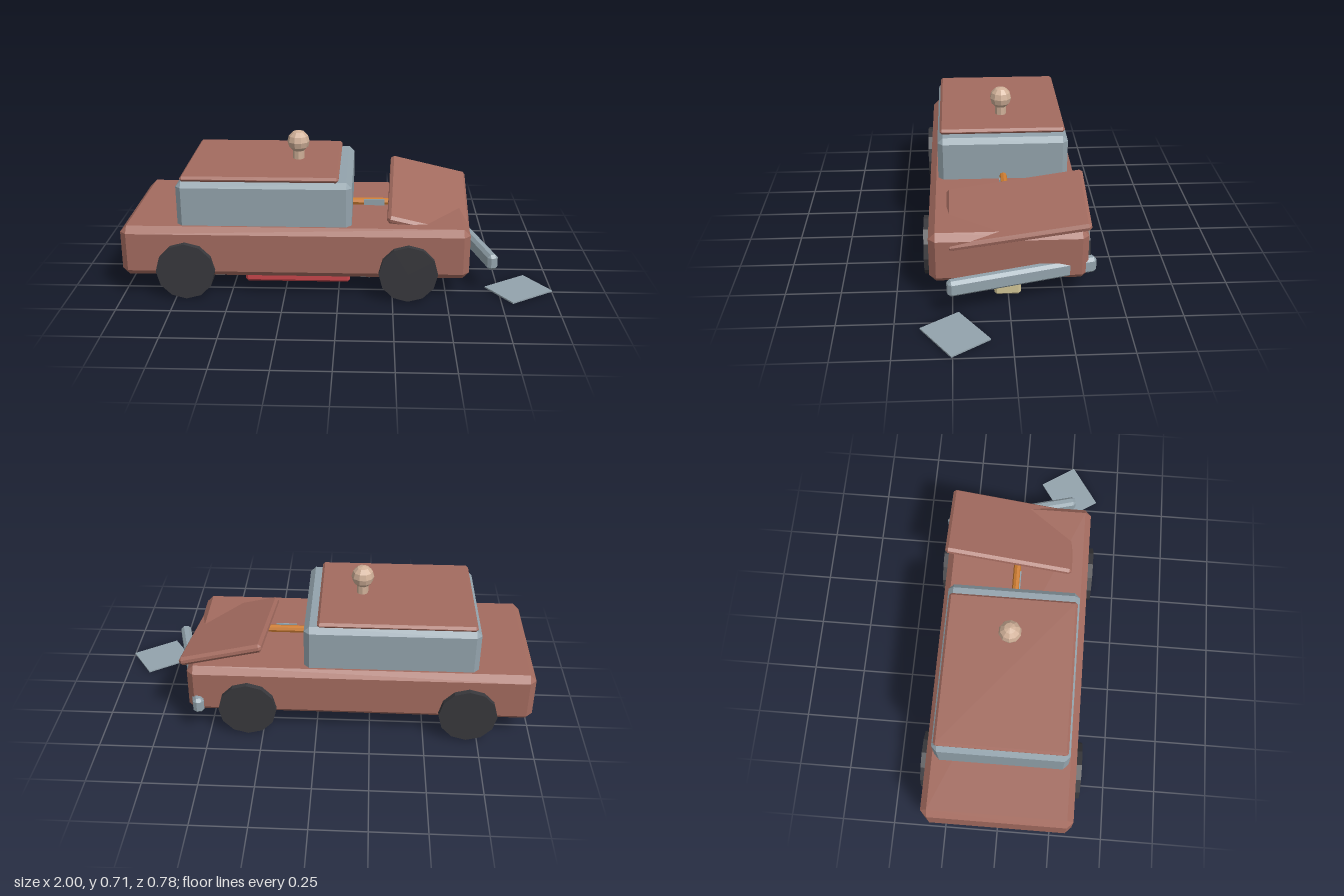
import * as THREE from 'three';
import { ConvexGeometry } from 'three/addons/geometries/ConvexGeometry.js';

const paint = (name, color) => {
  const m = new THREE.MeshStandardMaterial({ color, flatShading: true });
  m.name = name;
  return m;
};

// Box whose edges are cut by a flat chamfer c
function chamferBox(w, h, d, c) {
  const pts = [];
  const half = [w / 2, h / 2, d / 2];
  for (const sx of [-1, 1]) for (const sy of [-1, 1]) for (const sz of [-1, 1]) {
    for (let axis = 0; axis < 3; axis++) {
      const p = half.map((v, i) => (i === axis ? v : v - c));
      pts.push(new THREE.Vector3(p[0] * sx, p[1] * sy, p[2] * sz));
    }
  }
  return new ConvexGeometry(pts);
}

export function createModel() {
  const car = new THREE.Group();
  car.name = 'brokenCar';

  const rust = paint('rustBrown', 0xa36b5f);
  const steel = paint('blueGreySteel', 0x93a3ac);
  const rubber = paint('darkRubber', 0x38383c);
  const skin = paint('tan', 0xd0b098);
  const red = paint('red', 0xc8464b);
  const cream = paint('cream', 0xd2c596);
  const orange = paint('orange', 0xcc7c30);
  const green = paint('green', 0x3f8f70);

  const add = (name, geometry, material, x, y, z) => {
    const mesh = new THREE.Mesh(geometry, material);
    mesh.name = name;
    mesh.position.set(x, y, z);
    car.add(mesh);
    return mesh;
  };
  // Chamfered box given by its limits on each axis
  const block = (name, material, [x0, x1], [y0, y1], [z0, z1], c) =>
    add(name, chamferBox(x1 - x0, y1 - y0, z1 - z0, c), material,
      (x0 + x1) / 2, (y0 + y1) / 2, (z0 + z1) / 2);

  // Body, cabin and roof
  block('body', rust, [-1, 0.6], [0.1, 0.34], [-0.35, 0.35], 0.03);
  block('cabin', steel, [-0.74, 0.06], [0.3, 0.545], [-0.31, 0.31], 0.025);
  block('roof', rust, [-0.72, 0], [0.545, 0.57], [-0.3, 0.3], 0.011);

  // Knob on the roof
  add('knobNeck', new THREE.CylinderGeometry(0.027, 0.027, 0.05, 8), skin, -0.2, 0.59, 0);
  add('knob', new THREE.SphereGeometry(0.053, 10, 6), skin, -0.2, 0.655, 0);

  // Sprung hood, tilted to one side and sunk at the near front corner
  const hood = add('hood', chamferBox(0.39, 0.04, 0.63, 0.013), rust, 0.425, 0.368, -0.043);
  hood.rotation.set(0.17, 0, -0.23, 'ZYX');

  // Bumper hanging loose at one end
  const bumper = add('bumper', chamferBox(0.05, 0.075, 0.68, 0.014), steel, 0.63, 0.154, -0.058);
  bumper.rotation.y = 0.26;

  // Plate fallen on the ground
  const plate = add('fallenPlate', new THREE.BoxGeometry(0.24, 0.007, 0.2), steel, 0.844, 0.01, 0.24);
  plate.rotation.y = 0.59;

  // Wheels
  for (const x of [-0.7, 0.32]) for (const side of [-1, 1]) {
    const wheel = add('wheel', new THREE.CylinderGeometry(0.135, 0.135, 0.095, 12), rubber, x, 0.138, side * 0.329);
    wheel.rotation.x = Math.PI / 2;
  }

  // Rod between cabin and hood, with a steel sleeve plate on its side
  const rod = add('rod', new THREE.CylinderGeometry(0.018, 0.018, 0.3, 8), orange, 0.19, 0.354, 0);
  rod.rotation.z = Math.PI / 2;
  add('rodPlate', new THREE.BoxGeometry(0.1, 0.03, 0.006), steel, 0.163, 0.356, 0.019);

  // Tank under the floor with a patch on its underside
  block('tank', red, [-0.45, 0.05], [0.004, 0.13], [-0.182, 0.186], 0.012);
  add('tankPatch', new THREE.BoxGeometry(0.13, 0.003, 0.14), orange, -0.21, 0.0035, 0);

  // Stands: a post with a crosswise foot
  for (const [footX, postX] of [[-0.583, -0.585], [0.125, 0.175]]) {
    block('standPost', steel, [postX - 0.021, postX + 0.021], [0.03, 0.12], [-0.024, 0.024], 0.006);
    block('standFoot', steel, [footX - 0.033, footX + 0.033], [0.008, 0.048], [-0.14, 0.14], 0.011);
  }
  block('standCollar', steel, [0.14, 0.213], [0.008, 0.046], [-0.06, 0.06], 0.011);

  // Small parts lying under the front
  block('greenBoard', green, [0.25, 0.345], [0.004, 0.03], [-0.05, 0.05], 0.004);
  block('creamBox', cream, [0.4, 0.56], [0.006, 0.082], [-0.057, 0.063], 0.012);

  return car;
}
